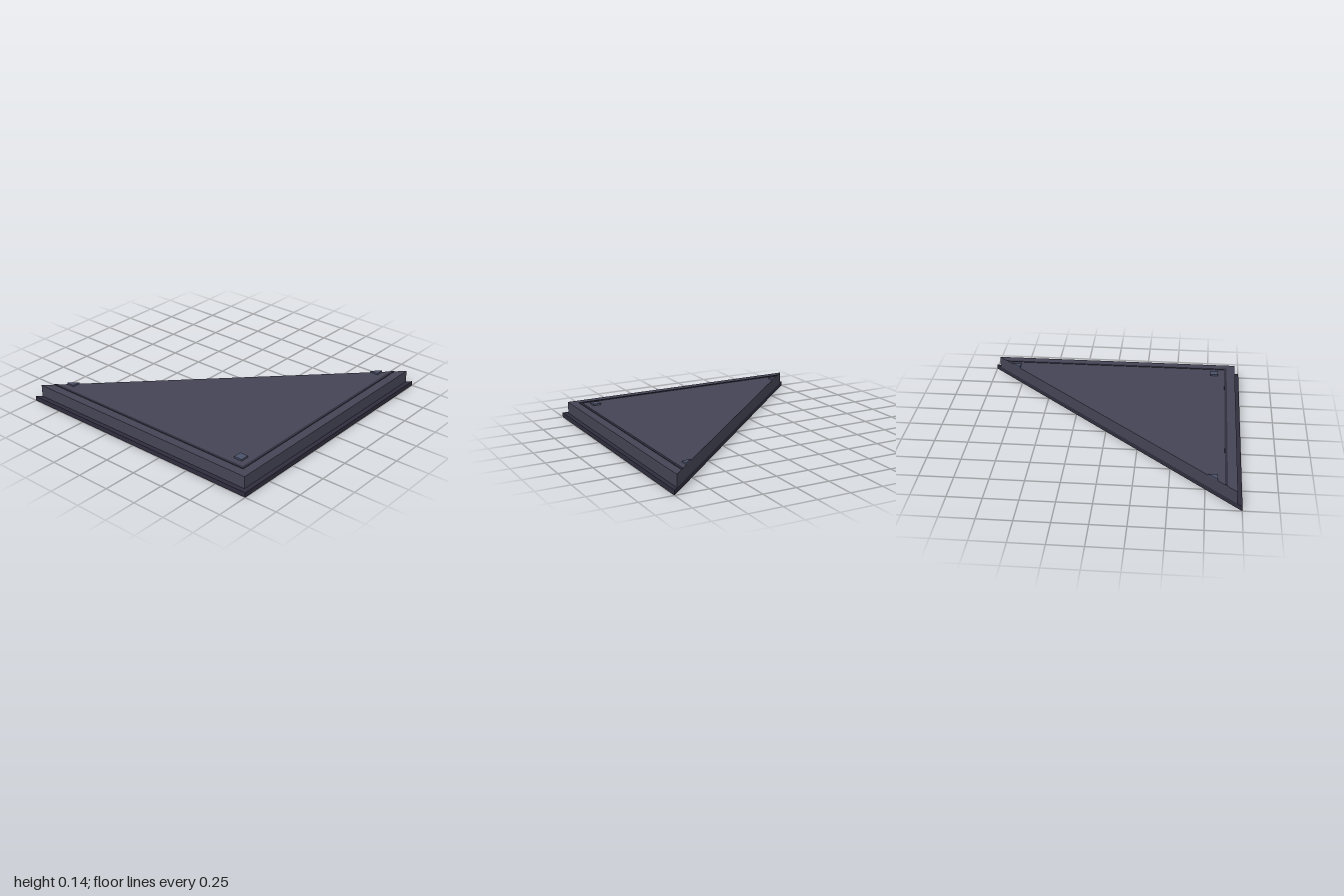
import * as THREE from 'three';

// Upright prism from a floor outline of [x, z] points
function prism(name, outline, y0, y1, color) {
  const shape = new THREE.Shape(outline.map(([x, z]) => new THREE.Vector2(x, -z)));
  const geometry = new THREE.ExtrudeGeometry(shape, { depth: y1 - y0, bevelEnabled: false });
  geometry.rotateX(-Math.PI / 2).translate(0, y0, 0);
  const mesh = new THREE.Mesh(geometry, new THREE.MeshStandardMaterial({ color }));
  mesh.name = name;
  return mesh;
}

// Right triangle whose long side lies on the diagonal x = z
const corner = (a, b) => [[a, a], [a, b], [b, b]];

export function createModel() {
  const group = new THREE.Group();
  group.name = 'triangularFloorTile';

  // Wide base and the inset slab above it, flush along the diagonal
  group.add(prism('base', corner(-1, 1), 0, 0.035, 0x2f2d3d));
  group.add(prism('slab', corner(-0.965, 0.965), 0.035, 0.125, 0x444455));

  // Thin raised trim running along the two short sides
  const o = 0.9, i = 0.88;
  group.add(prism('trim', [[-o, -o], [-o, o], [o, o], [i, i], [-i, i], [-i, -i]], 0.125, 0.129, 0x2d2d3d));

  // Corner studs: one whole, two cut by the diagonal
  const c = 0.8, h = 0.032, studColor = 0x4a5068;
  const whole = [[-c - h, c - h], [-c - h, c + h], [-c + h, c + h], [-c + h, c - h]];
  group.add(prism('cornerStud', whole, 0.125, 0.137, studColor));
  group.add(prism('backCutStud', corner(-c - h, -c + h), 0.125, 0.137, studColor));
  group.add(prism('leftCutStud', corner(c - h, c + h), 0.125, 0.137, studColor));

  return group;
}
